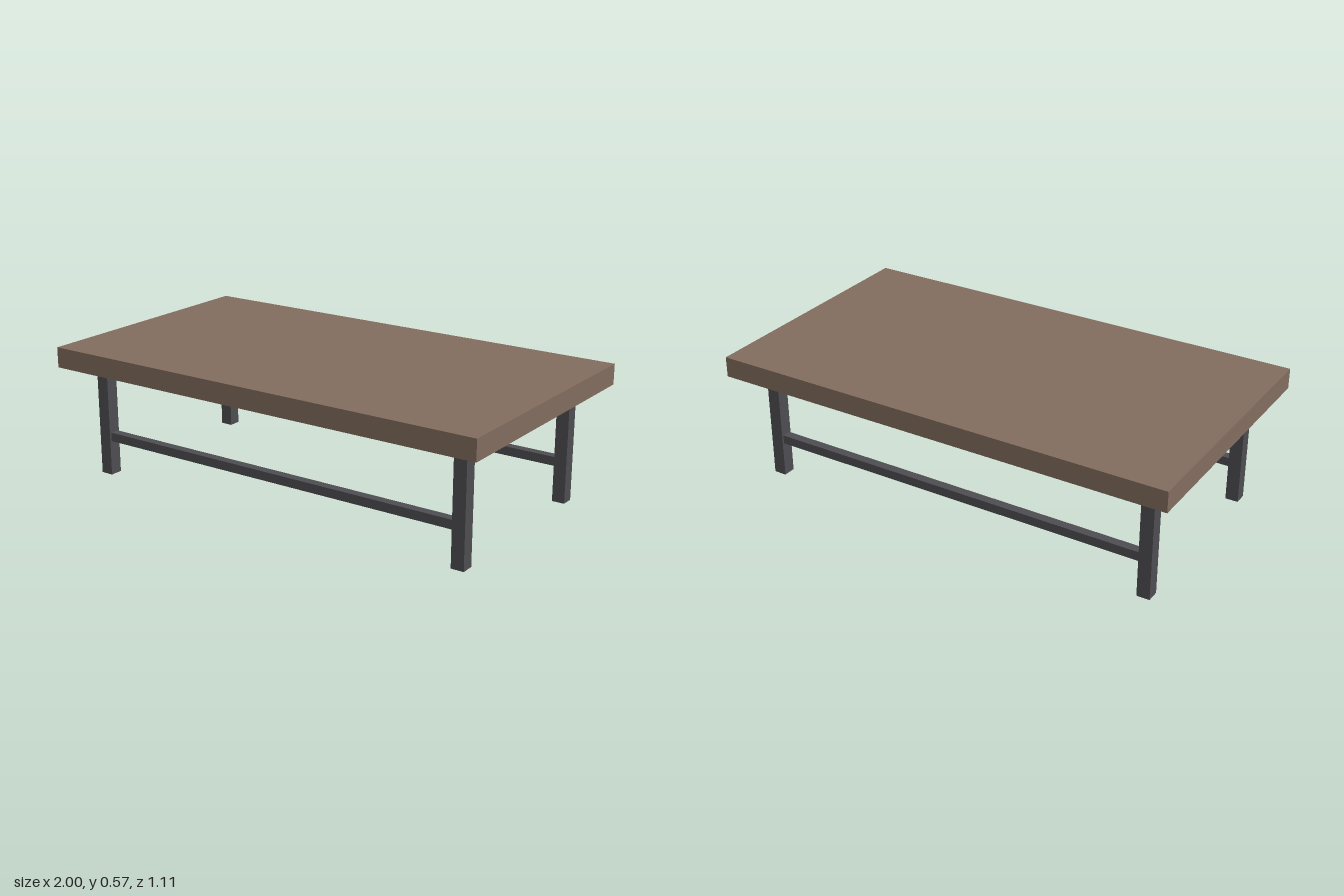
import * as THREE from 'three';

export function createModel() {
  const table = new THREE.Group();
  table.name = 'coffeeTable';

  const wood = new THREE.MeshStandardMaterial({ color: 0x826d5e });
  wood.name = 'brown wood';
  const metal = new THREE.MeshStandardMaterial({ color: 0x4e4e52 });
  metal.name = 'dark metal';

  function box(name, material, size, position) {
    const mesh = new THREE.Mesh(new THREE.BoxGeometry(...size), material);
    mesh.name = name;
    mesh.position.set(...position);
    table.add(mesh);
  }

  const topThickness = 0.087;
  const legHeight = 0.482;
  const legWidth = 0.055;
  const legX = 0.869;
  const legZ = 0.406;

  // Solid slab top
  box('tableTop', wood, [2, topThickness, 1.11], [0, legHeight + topThickness / 2, 0]);

  for (const [end, z] of [['front', legZ], ['back', -legZ]]) {
    // Square legs
    for (const [side, x] of [['Left', legX], ['Right', -legX]]) {
      box(`${end}${side}Leg`, metal, [legWidth, legHeight, legWidth], [x, legHeight / 2, z]);
    }
    // Long stretcher between the two legs
    box(`${end}Stretcher`, metal, [2 * legX - legWidth, 0.038, 0.038], [0, 0.169, z]);
  }

  return table;
}
